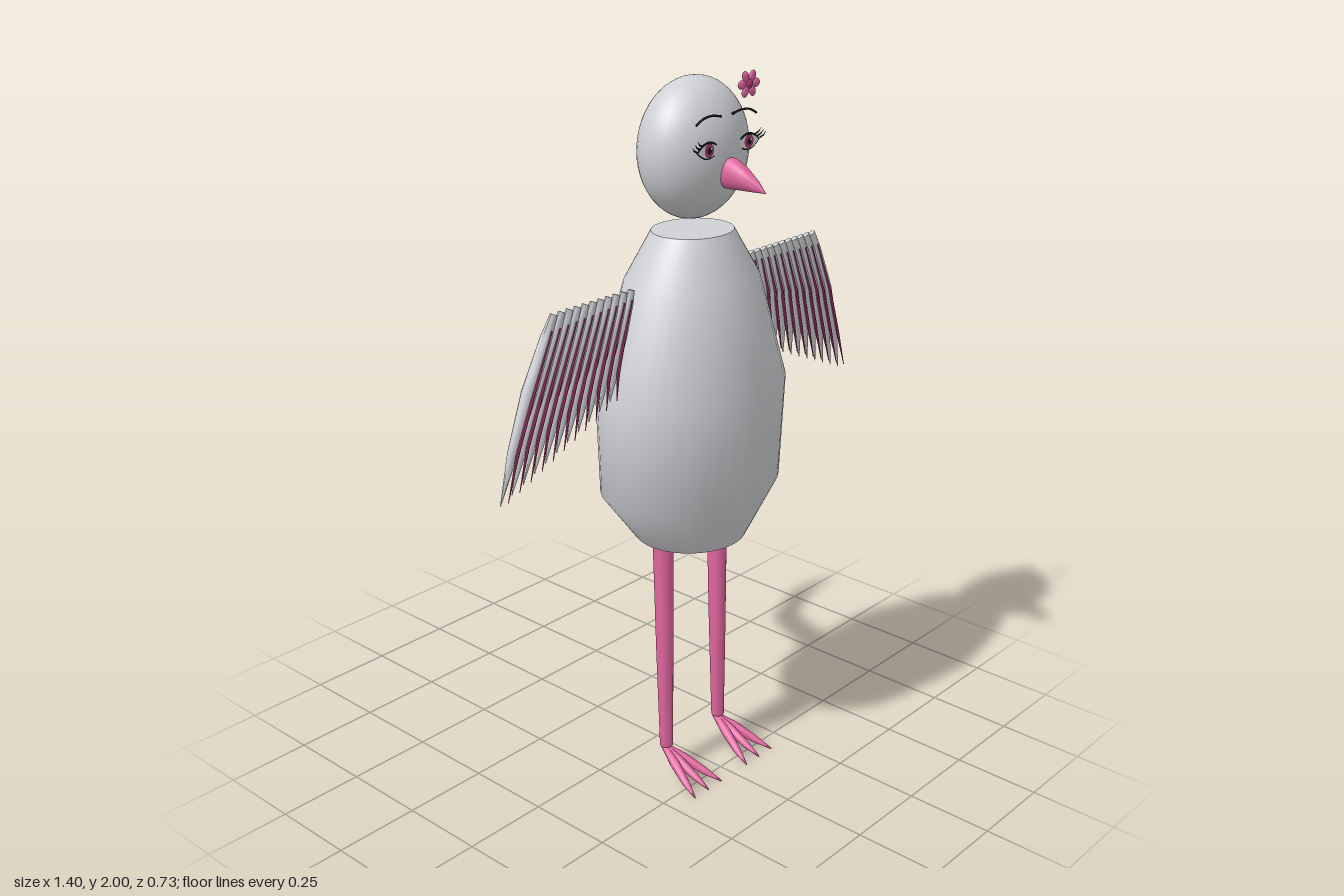
import * as THREE from 'three';
import { toCreasedNormals } from 'three/addons/utils/BufferGeometryUtils.js';

const mat = (name, color) => {
  const m = new THREE.MeshStandardMaterial({ color, side: THREE.DoubleSide });
  m.name = name;
  return m;
};

// Loft of elliptical rings [x, y, z, depthRadius, widthRadius] with closed ends.
function loft(rings, sides = 12, crease = 0.8) {
  const pts = rings.map(r => new THREE.Vector3(r[0], r[1], r[2]));
  const pos = [], idx = [], last = rings.length - 1;
  const X = new THREE.Vector3(1, 0, 0);
  rings.forEach(([, , , ru, rv = ru], i) => {
    const t = pts[Math.min(i + 1, last)].clone().sub(pts[Math.max(i - 1, 0)]).normalize();
    const u = t.clone().cross(X).normalize();
    const v = t.clone().cross(u);
    for (let j = 0; j < sides; j++) {
      const a = j / sides * Math.PI * 2;
      const p = pts[i].clone().addScaledVector(u, Math.cos(a) * ru).addScaledVector(v, Math.sin(a) * rv);
      pos.push(p.x, p.y, p.z);
    }
  });
  const c0 = pos.length / 3;
  pos.push(...pts[0].toArray(), ...pts[last].toArray());
  for (let j = 0; j < sides; j++) {
    const k = (j + 1) % sides;
    for (let i = 0; i < last; i++) {
      const a = i * sides + j, b = i * sides + k;
      idx.push(a, b, b + sides, a, b + sides, a + sides);
    }
    idx.push(c0, k, j, c0 + 1, last * sides + j, last * sides + k);
  }
  const g = new THREE.BufferGeometry();
  g.setAttribute('position', new THREE.Float32BufferAttribute(pos, 3));
  g.setIndex(idx);
  return toCreasedNormals(g, crease);
}

// Flat almond outline
function almond(w, h) {
  const s = new THREE.Shape();
  s.moveTo(-w, 0);
  s.quadraticCurveTo(0, h * 2, w, 0);
  s.quadraticCurveTo(0, -h * 2, -w, 0);
  return new THREE.ShapeGeometry(s, 10);
}

export function createModel() {
  const root = new THREE.Group();
  const grey = mat('plumage grey', 0xd0d1d5);
  const pink = mat('pink', 0xe0669f);
  const rose = mat('deep rose', 0xb03a72);
  const black = mat('black', 0x1c1a1c);
  const white = mat('eye white', 0xe6e6e8);

  const add = (name, geo, material, parent = root, x = 0, y = 0, z = 0) => {
    const m = new THREE.Mesh(geo, material);
    m.name = name;
    m.position.set(x, y, z);
    parent.add(m);
    return m;
  };
  const group = name => {
    const g = new THREE.Group();
    g.name = name;
    root.add(g);
    return g;
  };

  // Body and head
  add('body', loft([
    [0, 0.73, 0.125, 0.153, 0.16], [0, 0.885, 0.125, 0.215, 0.285], [0, 1.18, 0.125, 0.23, 0.293],
    [0, 1.47, 0.125, 0.167, 0.2], [0, 1.6, 0.125, 0.104, 0.118],
  ], 40), grey);
  add('head', new THREE.SphereGeometry(1, 40, 28), grey, root, 0, 1.815, 0.125).scale.set(0.169, 0.185, 0.125);

  // Beak, drooping to its tip
  add('beak', loft([
    [0, 1.768, 0.225, 0.038, 0.026], [0, 1.766, 0.255, 0.042, 0.031], [0, 1.757, 0.295, 0.031, 0.024],
    [0, 1.744, 0.335, 0.016, 0.013], [0, 1.732, 0.366, 0.001],
  ], 16), pink);

  // Tail, bent sideways and upwards
  add('tail', loft([
    [0, 0.955, -0.06, 0.048], [0.015, 0.945, -0.115, 0.045], [0.1, 0.912, -0.262, 0.038],
    [0.185, 1.025, -0.338, 0.03], [0.195, 1.13, -0.348, 0.018], [0.2, 1.24, -0.348, 0.001],
  ], 16, 1.2), grey);

  for (const s of [1, -1]) {
    const side = s > 0 ? 'left' : 'right';

    // Leg and toes
    const leg = group(side + 'Leg');
    add('shank', loft([
      [0.115 * s, 0.78, 0.125, 0.03], [0.115 * s, 0.4, 0.133, 0.025], [0.115 * s, 0.085, 0.14, 0.019],
    ], 14), pink, leg);
    for (const k of [-1, 0, 1]) {
      const toe = (t, y, r) => [0.115 * s + k * 0.058 * t, y, 0.13 + 0.172 * t, r];
      add('toe', loft([toe(0, 0.078, 0.009), toe(0.35, 0.052, 0.014), toe(0.7, 0.024, 0.011), toe(1, 0.003, 0.002)], 8), pink, leg);
    }

    // Wing: a row of overlapping feathers, each with a rose quill on the front
    const wing = group(side + 'Wing'), count = 11;
    for (let i = 0; i < count; i++) {
      const f = i / (count - 1);
      const x0 = 0.24 + 0.277 * f, x1 = 0.305 + 0.393 * f;
      const y0 = 1.487, y1 = 1.195 - 0.165 * f;
      const bend = 0.012;
      const at = (t, dz, ru, rv) => [
        s * (x0 + (x1 - x0) * t + bend * Math.sin(Math.PI * t)), y0 + (y1 - y0) * t, 0.128 - 0.018 * t + dz, ru, rv];
      add('feather', loft([
        at(0, 0, 0.007, 0.012), at(0.12, 0, 0.013, 0.018), at(0.4, 0, 0.018, 0.022),
        at(0.72, 0, 0.012, 0.016), at(1, 0, 0.001, 0.001),
      ], 10), grey, wing);
      add('quill', loft([
        at(0.08, 0.012, 0.002, 0.002), at(0.4, 0.017, 0.004, 0.005),
        at(0.72, 0.018, 0.004, 0.005), at(0.97, 0.024, 0.001, 0.001),
      ], 6), rose, wing);
    }

    // Eye: thin stacked plates, lashes and brow
    const eye = group(side + 'Eye');
    const ex = 0.078 * s, ey = 1.835;
    add('eyeRim', almond(0.047, 0.023), black, eye, ex, ey, 0.243);
    add('eyeWhite', almond(0.041, 0.018), white, eye, ex, ey - 0.001, 0.2445);
    add('iris', new THREE.CircleGeometry(0.018, 20), rose, eye, ex, ey, 0.246);
    add('pupil', new THREE.CircleGeometry(0.009, 16), black, eye, ex, ey, 0.2475);
    add('glint', new THREE.CircleGeometry(0.004, 10), white, eye, ex + 0.006, ey + 0.006, 0.249);
    for (let i = 0; i < 3; i++) {
      const lx = ex + s * (0.026 + 0.01 * i), ly = ey + 0.015 - 0.006 * i;
      add('lash', loft([
        [lx, ly, 0.244, 0.0025], [lx + s * 0.012, ly + 0.005, 0.246, 0.002], [lx + s * 0.02, ly + 0.014, 0.248, 0.0005],
      ], 5), black, eye);
    }
    const brow = new THREE.CatmullRomCurve3([
      [0.022, 1.912, 0.235], [0.055, 1.918, 0.236], [0.09, 1.915, 0.236], [0.118, 1.902, 0.236],
    ].map(([x, y, z]) => new THREE.Vector3(x * s, y, z)));
    add('brow', new THREE.TubeGeometry(brow, 12, 0.003, 6), black, eye);
  }

  // Flower on the side of the head
  const flower = group('flower');
  flower.position.set(0.154, 1.964, 0.18);
  for (let i = 0; i < 6; i++) {
    const a = i / 6 * Math.PI * 2;
    const p = add('petal', new THREE.SphereGeometry(1, 12, 8), pink, flower, Math.cos(a) * 0.028, Math.sin(a) * 0.022, 0);
    p.scale.set(0.016, 0.012, 0.006);
    p.rotation.z = a;
  }
  add('flowerCentre', new THREE.SphereGeometry(1, 12, 8), rose, flower).scale.set(0.013, 0.013, 0.008);

  return root;
}
